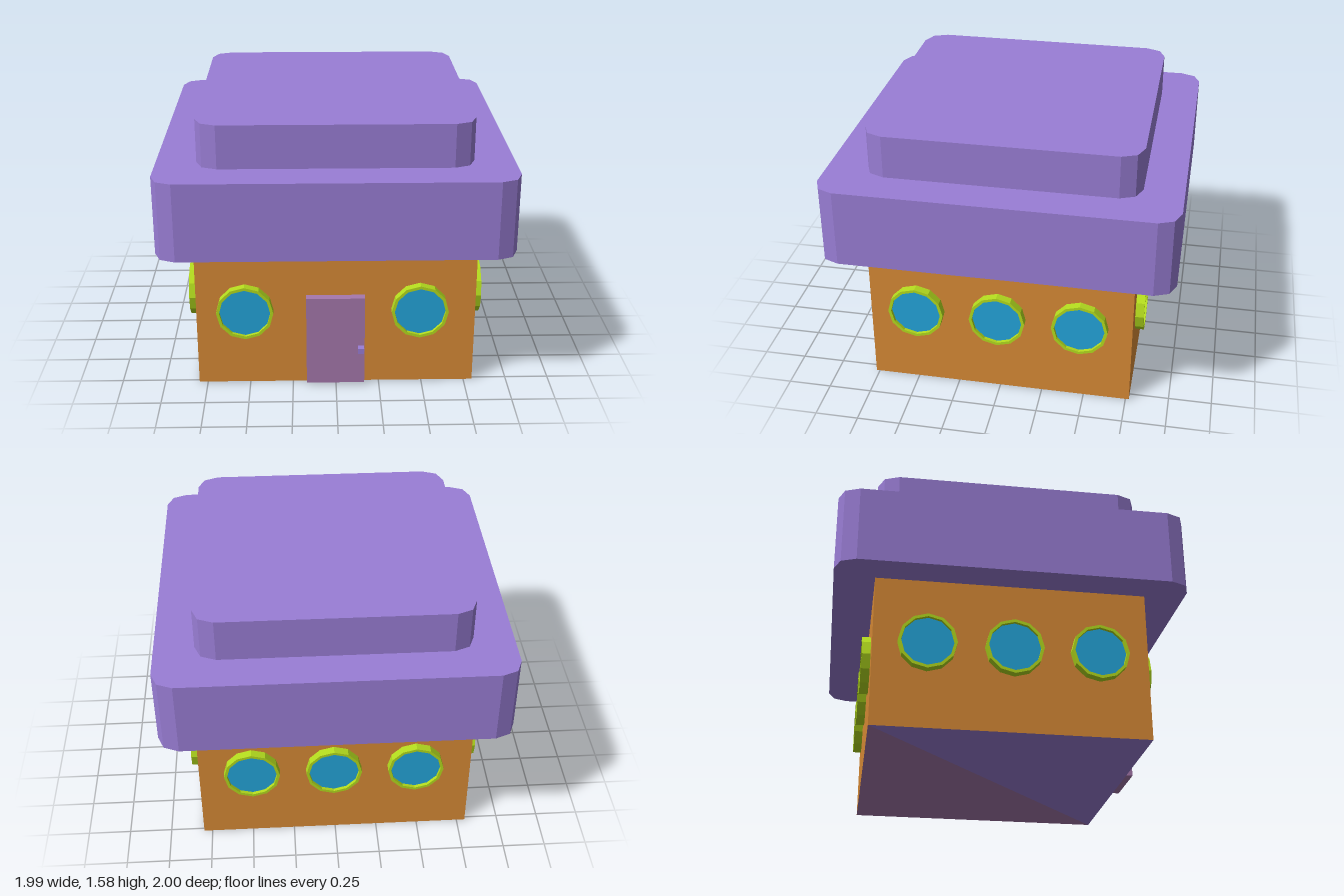
import * as THREE from 'three';

const mat = (name, color) => new THREE.MeshStandardMaterial({ name, color });

export function createModel() {
  const purple = mat('roof purple', 0x9a7ed6);
  const orange = mat('wall orange', 0xd98b36);
  const mauve = mat('door mauve', 0xa678ad);
  const lime = mat('frame lime', 0xb4dc1e);
  const blue = mat('glass blue', 0x24a6dc);

  const model = new THREE.Group();
  model.name = 'house';
  const add = (parent, name, geometry, material, x = 0, y = 0, z = 0) => {
    const mesh = new THREE.Mesh(geometry, material);
    mesh.name = name;
    mesh.position.set(x, y, z);
    parent.add(mesh);
    return mesh;
  };

  // Walls, with a floor split diagonally into two colours
  const body = new THREE.BoxGeometry(1.6, 0.88, 1.54);
  body.clearGroups();
  body.addGroup(0, 18, 0);
  body.addGroup(18, 3, 1);
  body.addGroup(21, 3, 2);
  body.addGroup(24, 12, 0);
  add(model, 'walls', body, [orange, purple, mauve], 0, 0.44, 0);

  // Roof slabs: squares whose corners are cut in two facets
  const slab = (name, hx, hz, y, height) => {
    const corner = [[0, 0.12], [0.035, 0.035], [0.12, 0]];
    const points = [];
    for (const [sx, sz] of [[1, 1], [-1, 1], [-1, -1], [1, -1]]) {
      const part = corner.map(([dx, dz]) => new THREE.Vector2(sx * (hx - dx), sz * (hz - dz)));
      points.push(...(sx * sz > 0 ? part : part.reverse()));
    }
    const geometry = new THREE.ExtrudeGeometry(new THREE.Shape(points), { depth: height, bevelEnabled: false });
    geometry.rotateX(-Math.PI / 2);
    add(model, name, geometry, purple, 0, y, 0);
  };
  slab('lowerRoof', 0.995, 1, 0.88, 0.45);
  slab('upperRoof', 0.77, 0.775, 1.33, 0.25);

  // Porthole: twelve-sided frame around recessed glass, facing +z
  const polygon = (r) => Array.from({ length: 12 }, (_, i) => {
    const a = (i * Math.PI) / 6;
    return new THREE.Vector2(r * Math.cos(a), r * Math.sin(a));
  });
  const ring = new THREE.Shape(polygon(0.163));
  ring.holes.push(new THREE.Path(polygon(0.146).reverse()));
  const frameGeometry = new THREE.ExtrudeGeometry(ring, { depth: 0.05, bevelEnabled: false });
  const glassGeometry = new THREE.CircleGeometry(0.148, 12);
  const porthole = (x, y, z, turn) => {
    const group = new THREE.Group();
    group.name = 'window';
    add(group, 'windowFrame', frameGeometry, lime);
    add(group, 'windowGlass', glassGeometry, blue, 0, 0, 0.03);
    group.position.set(x, y, z);
    group.rotation.y = turn;
    model.add(group);
  };
  for (const x of [-0.52, 0.48]) porthole(x, 0.47, 0.77, 0);
  for (const t of [0.49, 0.01, -0.47]) {
    porthole(0.8, 0.49, t, Math.PI / 2);
    porthole(-0.8, 0.49, t, -Math.PI / 2);
    porthole(t, 0.49, -0.77, Math.PI);
  }

  // Door and its square knob
  add(model, 'door', new THREE.BoxGeometry(0.335, 0.545, 0.05), mauve, -0.003, 0.288, 0.795);
  add(model, 'doorKnob', new THREE.BoxGeometry(0.035, 0.035, 0.04), purple, 0.143, 0.242, 0.84);

  return model;
}
